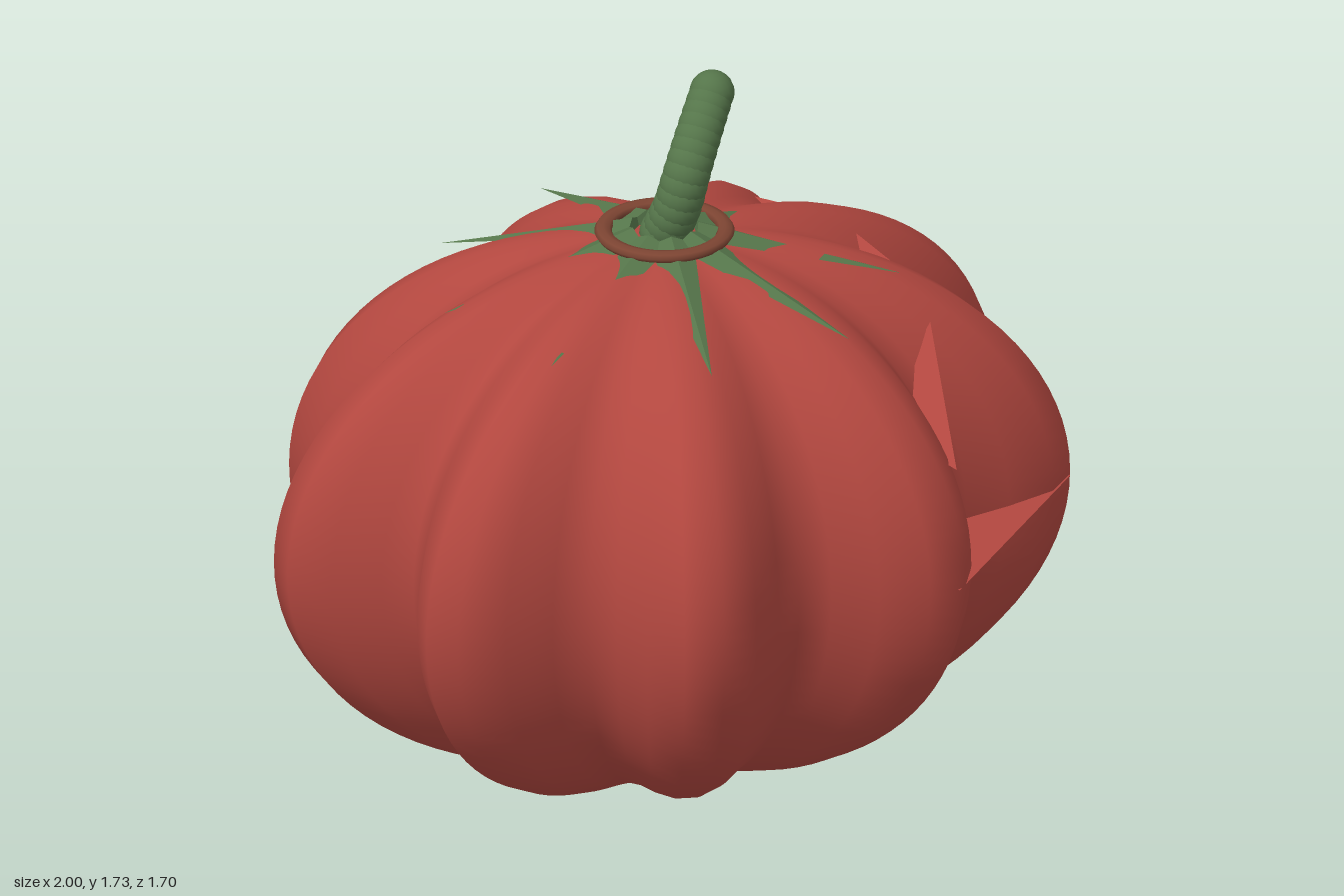
import * as THREE from 'three';
import { mergeVertices } from 'three/addons/utils/BufferGeometryUtils.js';

const CX = -0.03, HALF = 0.68, RX = 1.03, RZ = 0.865, LOBES = 9;

// Point on the lobed body at an angle (radians) and a height
function bodyPoint(angle, y) {
  const ring = Math.sqrt(Math.max(0, 1 - ((y - HALF) / HALF) ** 2));
  const r = ring * (0.885 + 0.115 * Math.cos(LOBES * angle));
  return new THREE.Vector3(CX + RX * r * Math.cos(angle), y, RZ * r * Math.sin(angle));
}

export function createModel() {
  const skin = new THREE.MeshStandardMaterial({ color: 0xb2473f, side: THREE.DoubleSide });
  skin.name = 'red skin';
  const green = new THREE.MeshStandardMaterial({ color: 0x55754a });
  green.name = 'stem green';
  const brown = new THREE.MeshStandardMaterial({ color: 0x7c4432 });
  brown.name = 'collar brown';

  const model = new THREE.Group();
  model.name = 'ribbedFruit';
  const add = (name, geometry, material, parent = model) => {
    const mesh = new THREE.Mesh(geometry, material);
    mesh.name = name;
    parent.add(mesh);
    return mesh;
  };

  // Body: a sphere squashed and pushed into nine lobes
  let body = new THREE.SphereGeometry(1, 64, 48);
  const p = body.attributes.position;
  for (let i = 0; i < p.count; i++) {
    const q = bodyPoint(Math.atan2(p.getZ(i), p.getX(i)), HALF + HALF * p.getY(i));
    p.setXYZ(i, q.x, q.y, q.z);
  }
  body.deleteAttribute('uv');
  body.deleteAttribute('normal');
  body = mergeVertices(body, 1e-5);
  body.computeVertexNormals();
  add('body', body, skin);

  // Flat web joining five lobe tips at mid height
  const tips = [-80, -40, 0, 40, 80].map(d => bodyPoint(d * Math.PI / 180, 0.67));
  const web = new THREE.ShapeGeometry(new THREE.Shape(tips.map(t => new THREE.Vector2(t.x, -t.z))));
  web.rotateX(-Math.PI / 2);
  add('lobeWeb', web, skin).position.y = 0.67;

  // Small fins bridging the grooves near the top
  const core = new THREE.Vector3(CX, HALF, 0);
  const chords = [[[0.22, 0.93, 0.76], [0.42, 1.14, 0.44]], [[0.48, 1.195, 0.28], [0.5, 1.225, 0.06]]];
  for (const side of [-1, 1]) {
    for (const chord of chords) {
      const [a, b] = chord.map(c => new THREE.Vector3(c[0], c[1], c[2] * side));
      const inner = a.clone().add(b).multiplyScalar(0.5).lerp(core, 0.25);
      const fin = new THREE.BufferGeometry().setFromPoints([a, b, inner]);
      fin.computeVertexNormals();
      add('grooveFin', fin, skin);
    }
  }

  // Leaves: flattened spikes radiating from the collar
  const leaves = new THREE.Group();
  leaves.name = 'leaves';
  leaves.position.set(CX, 0, 0);
  model.add(leaves);
  const length = 0.5;
  let spike = new THREE.ConeGeometry(0.055, length, 4);
  spike.translate(0, length / 2, 0);
  spike.rotateZ(-Math.PI / 2);
  spike.scale(1, 0.4, 1);
  spike.rotateZ(-0.24);
  spike = spike.toNonIndexed();
  spike.computeVertexNormals();
  spike.translate(0.075, 1.365, 0);
  for (let i = 0; i < LOBES; i++) {
    add('leaf', spike, green, leaves).rotation.y = i * Math.PI * 2 / LOBES;
  }

  // Collar ring around the stem
  const collar = new THREE.TorusGeometry(0.145, 0.021, 8, 40);
  collar.rotateX(Math.PI / 2);
  collar.scale(1, 0.65, 1);
  add('collar', collar, brown).position.set(CX, 1.366, 0);

  // Stem: overlapping beads along a bent curve
  const stem = new THREE.Group();
  stem.name = 'stem';
  model.add(stem);
  const curve = new THREE.CatmullRomCurve3([
    [CX, 1.36, 0], [-0.02, 1.44, 0.035], [0, 1.52, 0.045], [0.05, 1.6, 0.03], [0.12, 1.68, 0],
  ].map(c => new THREE.Vector3(...c)));
  const beads = 14;
  for (let i = 0; i < beads; i++) {
    const t = i / (beads - 1);
    const bead = add('stemBead', new THREE.SphereGeometry(0.06 - 0.006 * t, 18, 12), green, stem);
    bead.position.copy(curve.getPointAt(t));
  }
  return model;
}
